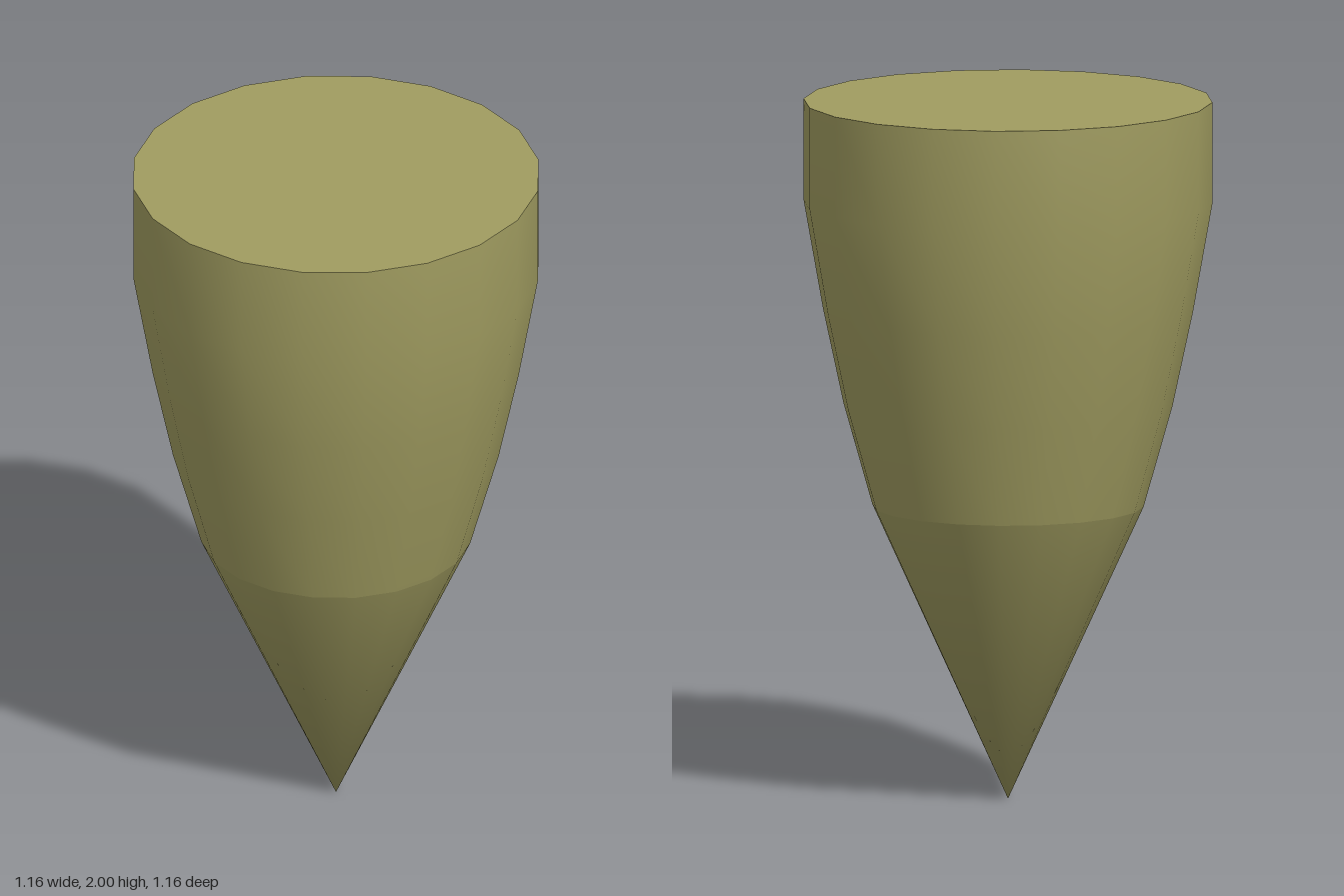
import * as THREE from 'three';

const SIDES = 20;
const RADIUS = 0.58;

function lathe(profile) {
  return new THREE.LatheGeometry(profile.map(([r, y]) => new THREE.Vector2(r, y)), SIDES);
}

export function createModel() {
  const group = new THREE.Group();
  const material = new THREE.MeshStandardMaterial({ color: 0xa09c60 });
  const add = (name, geometry) => {
    const mesh = new THREE.Mesh(geometry, material);
    mesh.name = name;
    group.add(mesh);
    return mesh;
  };

  // Pointed tip, with the apex shaded straight down
  const tip = lathe([[0, 0], [0.385, 0.84]]);
  const { position, normal } = tip.attributes;
  for (let i = 0; i < position.count; i++) {
    if (position.getY(i) < 0.001) normal.setXYZ(i, 0, -1, 0);
  }
  add('tip', tip);

  // Curved body rising into a short straight collar
  add('body', lathe([[0.385, 0.84], [0.467, 1.13], [0.525, 1.4], [RADIUS, 1.71], [RADIUS, 2]]));

  // Flat lid closing the top
  const cap = new THREE.CircleGeometry(RADIUS, SIDES).rotateX(-Math.PI / 2);
  add('topCap', cap).position.y = 2;

  return group;
}
